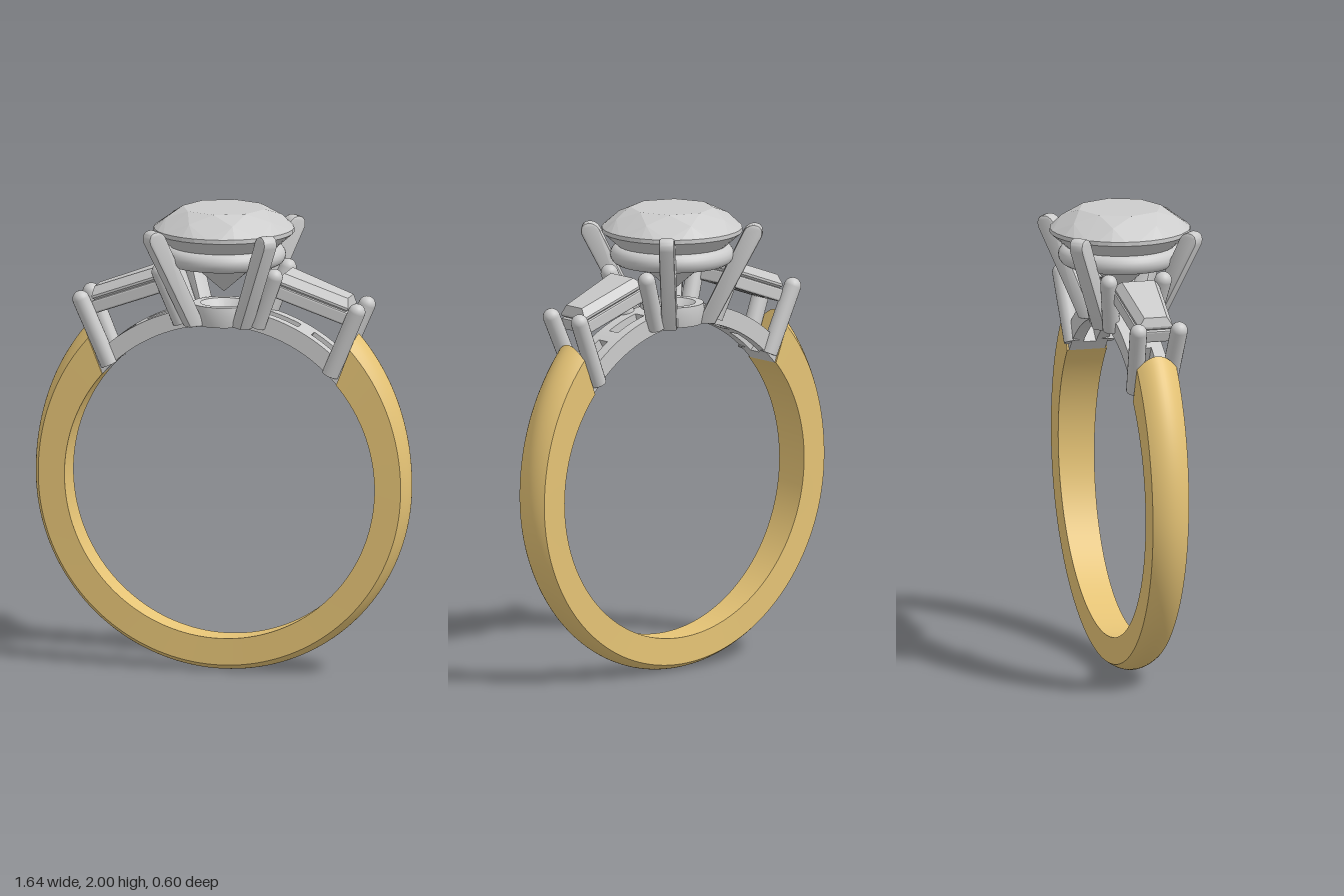
import * as THREE from 'three';
import { ConvexGeometry } from 'three/addons/geometries/ConvexGeometry.js';
import { toCreasedNormals } from 'three/addons/utils/BufferGeometryUtils.js';

const metal = new THREE.MeshStandardMaterial({ color: 0xcccccc });
const gem = new THREE.MeshStandardMaterial({ color: 0xcccccc, flatShading: true });
const gold = new THREE.MeshStandardMaterial({ color: 0xe6c476 });
const CY = 0.822, RI = 0.68; // finger hole centre height and radius
const rad = THREE.MathUtils.degToRad;
const V = (x, y, z) => new THREE.Vector3(x, y, z);

function add(parent, name, geometry, material) {
  const mesh = new THREE.Mesh(geometry, material);
  mesh.name = name;
  parent.add(mesh);
  return mesh;
}

// Domed shank, thicker and wider toward the shoulders, with slanted ends
function bandGeometry() {
  const steps = 120, dome = 12, pos = [], idx = [];
  const n = dome + 3;
  for (let k = 0; k <= steps; k++) {
    const t = k / steps;
    const s = Math.max(0, Math.sin(rad(48 - 276 * t))) / 0.74;
    const swell = s * s;
    const ro = 0.822 + 0.06 * swell;
    const drop = 0.027 + 0.025 * swell;
    const h = 0.079 + 0.012 * Math.sin(rad(48 - 276 * t));
    const profile = [[RI, -h], [RI, h]];
    for (let i = 0; i <= dome; i++) {
      const w = 1 - 2 * i / dome;
      profile.push([ro - drop * w * w, h * w]);
    }
    for (const [r, z] of profile) {
      const start = 41 + 7 * (r - RI) / 0.2;
      const a = rad(start + (-180 - 2 * start) * t);
      pos.push(r * Math.cos(a), CY + r * Math.sin(a), z);
    }
  }
  for (let k = 0; k < steps; k++) {
    for (let i = 0; i < n; i++) {
      const a = k * n + i, b = k * n + (i + 1) % n;
      idx.push(a, a + n, b + n, a, b + n, b);
    }
  }
  const last = steps * n;
  for (let i = 1; i < n - 1; i++) {
    idx.push(0, i, i + 1, last, last + i + 1, last + i);
  }
  const g = new THREE.BufferGeometry();
  g.setAttribute('position', new THREE.Float32BufferAttribute(pos, 3));
  g.setIndex(idx);
  return toCreasedNormals(g, rad(25));
}

// Round brilliant: octagonal table, crown, thin girdle, pointed pavilion
function brilliantGeometry() {
  const pts = [V(0, 1.635, 0)];
  const ring = (n, r, y, turn) => {
    for (let i = 0; i < n; i++) {
      const a = (i + turn) * 2 * Math.PI / n;
      pts.push(V(r * Math.cos(a), y, r * Math.sin(a)));
    }
  };
  ring(8, 0.18, 2, 0);
  ring(8, 0.25, 1.963, 0.5);
  ring(32, 0.3, 1.915, 0);
  ring(32, 0.3, 1.897, 0);
  return new ConvexGeometry(pts);
}

// Round prong with a domed tip
function roundProng(parent, name, bottom, top, r) {
  const prong = new THREE.Group();
  prong.name = name;
  const dir = top.clone().sub(bottom), len = dir.length();
  add(prong, 'prongShaft', new THREE.CylinderGeometry(r, r, len, 20), metal).position.y = len / 2;
  add(prong, 'prongTip', new THREE.SphereGeometry(r, 20, 12), metal).position.y = len;
  prong.position.copy(bottom);
  prong.quaternion.setFromUnitVectors(V(0, 1, 0), dir.normalize());
  parent.add(prong);
}

// Arc of the bridge between two angles and two depths
function arcGeometry(from, to, z0, z1) {
  const s = new THREE.Shape();
  s.absarc(0, 0, 0.757, rad(from), rad(to), false);
  s.absarc(0, 0, RI, rad(to), rad(from), true);
  const g = new THREE.ExtrudeGeometry(s, { depth: z1 - z0, bevelEnabled: false, curveSegments: 24 });
  return toCreasedNormals(g.translate(0, CY, z0), rad(25));
}

// One shoulder: tapered side stone, its frame, four prongs and the bridge arcs
function shoulder(name) {
  const g = new THREE.Group();
  g.name = name;

  const seat = new THREE.Group();
  seat.name = 'sideSetting';
  seat.position.set(0.42, 1.69, 0);
  seat.rotation.z = rad(-20);
  g.add(seat);
  const pts = [];
  for (const [y, u, inner, outer] of [
    [0, 0.145, 0.072, 0.05], [-0.035, 0.165, 0.1, 0.075],
    [-0.045, 0.165, 0.1, 0.075], [-0.1, 0.12, 0.02, 0.015]]) {
    for (const m of [-1, 1]) pts.push(V(-u, y, m * inner), V(u, y, m * outer));
  }
  add(seat, 'sideStone', new ConvexGeometry(pts), gem);

  const trapezoid = (u, inner, outer) =>
    [[-u, -inner], [u, -outer], [u, outer], [-u, inner]].map(p => new THREE.Vector2(...p));
  const frame = new THREE.Shape(trapezoid(0.165, 0.095, 0.072));
  frame.holes.push(new THREE.Path(trapezoid(0.135, 0.05, 0.03)));
  const frameGeo = new THREE.ExtrudeGeometry(frame, {
    depth: 0.04, bevelEnabled: true, bevelSize: 0.006, bevelThickness: 0.008, bevelSegments: 2 });
  add(seat, 'sideStoneFrame', frameGeo.rotateX(Math.PI / 2), metal).position.y = -0.062;

  for (const m of [-1, 1]) {
    roundProng(g, 'outerSideProng', V(0.485, 1.31, m * 0.072), V(0.605, 1.59, m * 0.09), 0.037);
    roundProng(g, 'innerSideProng', V(0.165, 1.51, m * 0.085), V(0.25, 1.73, m * 0.12), 0.037);
    const z = m < 0 ? [-0.08, -0.028] : [0.028, 0.08];
    add(g, 'bridgeRail', arcGeometry(41, 82, ...z), metal);
  }
  // Cross pieces that close the slot between the rails
  for (const a of [41, 59, 76]) add(g, 'bridgeCrossPiece', arcGeometry(a, a + 5, -0.03, 0.03), metal);
  return g;
}

export function createModel() {
  const ring = new THREE.Group();
  ring.name = 'threeStoneRing';
  add(ring, 'band', bandGeometry(), gold);
  add(ring, 'centreStone', brilliantGeometry(), gem);

  // Rounded gallery ring below the girdle
  const gallery = new THREE.TorusGeometry(0.222, 0.042, 16, 64).rotateX(Math.PI / 2);
  add(ring, 'galleryRing', gallery, metal).position.y = 1.798;

  // Pierced cup at the foot of the setting
  const cup = [[0.045, 1.5], [0.13, 1.5], [0.14, 1.55], [0.135, 1.588], [0.1, 1.588], [0.045, 1.535], [0.045, 1.5]];
  const cupGeo = new THREE.LatheGeometry(cup.map(p => new THREE.Vector2(...p)), 48);
  add(ring, 'baseCup', toCreasedNormals(cupGeo, rad(30)), metal);

  // Four flat claws on the diagonals, leaning outward
  const side = new THREE.Shape();
  side.moveTo(0.11, 1.5);
  side.lineTo(0.185, 1.5);
  side.lineTo(0.385, 1.88);
  side.quadraticCurveTo(0.395, 1.93, 0.35, 1.932);
  side.quadraticCurveTo(0.315, 1.93, 0.3, 1.89);
  side.closePath();
  const clawGeo = new THREE.ExtrudeGeometry(side, {
    depth: 0.046, bevelEnabled: true, bevelSize: 0.008, bevelThickness: 0.01,
    bevelOffset: -0.008, bevelSegments: 2, curveSegments: 8 }).translate(0, 0, -0.023);
  const creasedClaw = toCreasedNormals(clawGeo, rad(35));
  for (let i = 0; i < 4; i++) {
    add(ring, 'centreClaw', creasedClaw, metal).rotation.y = Math.PI / 4 + i * Math.PI / 2;
  }

  const left = shoulder('leftShoulder');
  const right = shoulder('rightShoulder');
  right.rotation.y = Math.PI;
  ring.add(left, right);
  return ring;
}
